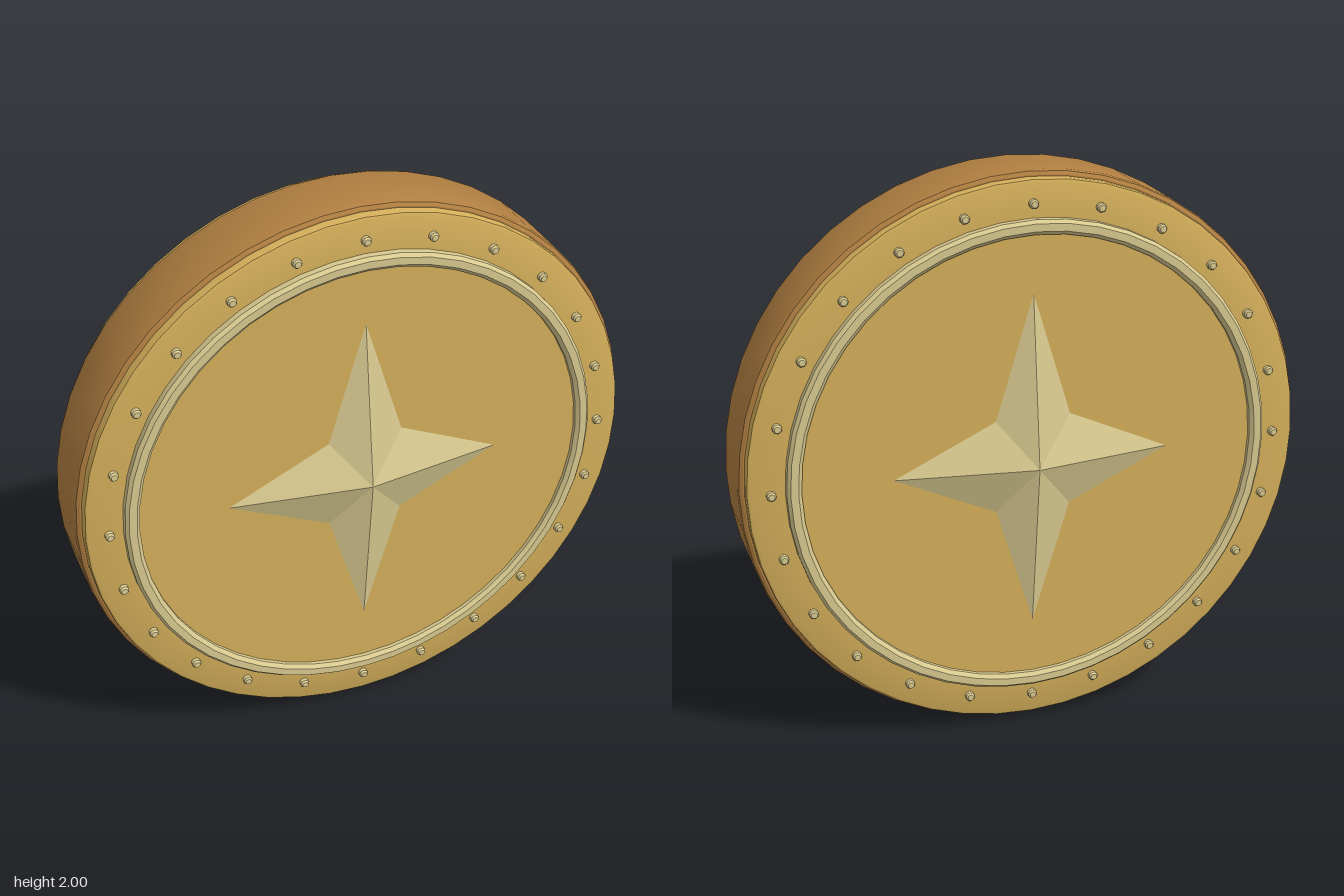
import * as THREE from 'three';
import { toCreasedNormals } from 'three/addons/utils/BufferGeometryUtils.js';

const SEGMENTS = 48;

// Revolves [radius, z] points about the z axis, keeping the edges crisp.
function turned(points, segments = SEGMENTS) {
  const g = new THREE.LatheGeometry(points.map(([r, z]) => new THREE.Vector2(r, z)), segments);
  g.rotateX(Math.PI / 2);
  return toCreasedNormals(g, 0.5);
}

// Completes a front half profile with its mirror image on the back.
function mirrored(half) {
  return [...half.map(([r, z]) => [r, -z]).reverse(), ...half];
}

// Four-pointed faceted star rising to a central apex.
function starGeometry(base, apex) {
  const rim = [];
  for (let i = 0; i < 4; i++) {
    const a = i * Math.PI / 2;
    const sx = Math.sign(Math.cos(a + Math.PI / 4));
    const sy = Math.sign(Math.sin(a + Math.PI / 4));
    rim.push([Math.cos(a) * 0.49, Math.sin(a) * 0.6, base], [sx * 0.132, sy * 0.165, base]);
  }
  const pos = [];
  rim.forEach((p, i) => pos.push(0, 0, apex, ...p, ...rim[(i + 1) % rim.length]));
  const g = new THREE.BufferGeometry();
  g.setAttribute('position', new THREE.Float32BufferAttribute(pos, 3));
  g.computeVertexNormals();
  return g;
}

export function createModel() {
  const bronze = new THREE.MeshStandardMaterial({ name: 'bronze', color: 0xb17f41 });
  const gold = new THREE.MeshStandardMaterial({ name: 'gold', color: 0xd4af5a });
  const paleGold = new THREE.MeshStandardMaterial({ name: 'pale gold', color: 0xd9ca90 });

  const model = new THREE.Group();
  model.name = 'medallion';
  const add = (parent, name, geometry, material) => {
    const mesh = new THREE.Mesh(geometry, material);
    mesh.name = name;
    parent.add(mesh);
    return mesh;
  };

  // Outer band around the edge
  add(model, 'outerBand', turned(mirrored([
    [1, 0.108], [0.996, 0.12], [0.985, 0.127], [0.94, 0.127],
  ])), bronze);

  // Body with a slightly raised panel on each face
  add(model, 'body', turned(mirrored([
    [0.98, 0.15], [0.977, 0.159], [0.968, 0.163], [0.825, 0.163], [0.825, 0.173], [0, 0.173],
  ])), gold);

  // Ornaments, the same on both faces
  const ringGeometry = turned([
    [0.852, 0.15], [0.852, 0.187], [0.841, 0.199], [0.815, 0.199], [0.802, 0.187], [0.802, 0.15],
  ]);
  const starGeo = starGeometry(0.173, 0.245);
  const studGeometry = turned([
    [0.016, -0.01], [0.016, 0.014], [0.011, 0.021], [0, 0.023],
  ], 12);

  for (const side of ['front', 'back']) {
    const face = new THREE.Group();
    face.name = side + 'Face';
    add(face, side + 'Ring', ringGeometry, paleGold);
    add(face, side + 'Star', starGeo, paleGold);
    // Studs around the border
    for (let i = 0; i < 24; i++) {
      const a = i * Math.PI / 12;
      const stud = add(face, side + 'Stud', studGeometry, paleGold);
      stud.position.set(Math.cos(a) * 0.9, Math.sin(a) * 0.9, 0.163);
    }
    if (side === 'back') face.rotation.y = Math.PI;
    model.add(face);
  }

  // Stand the disc on the ground
  model.children.forEach((part) => { part.position.y = 1; });
  return model;
}
